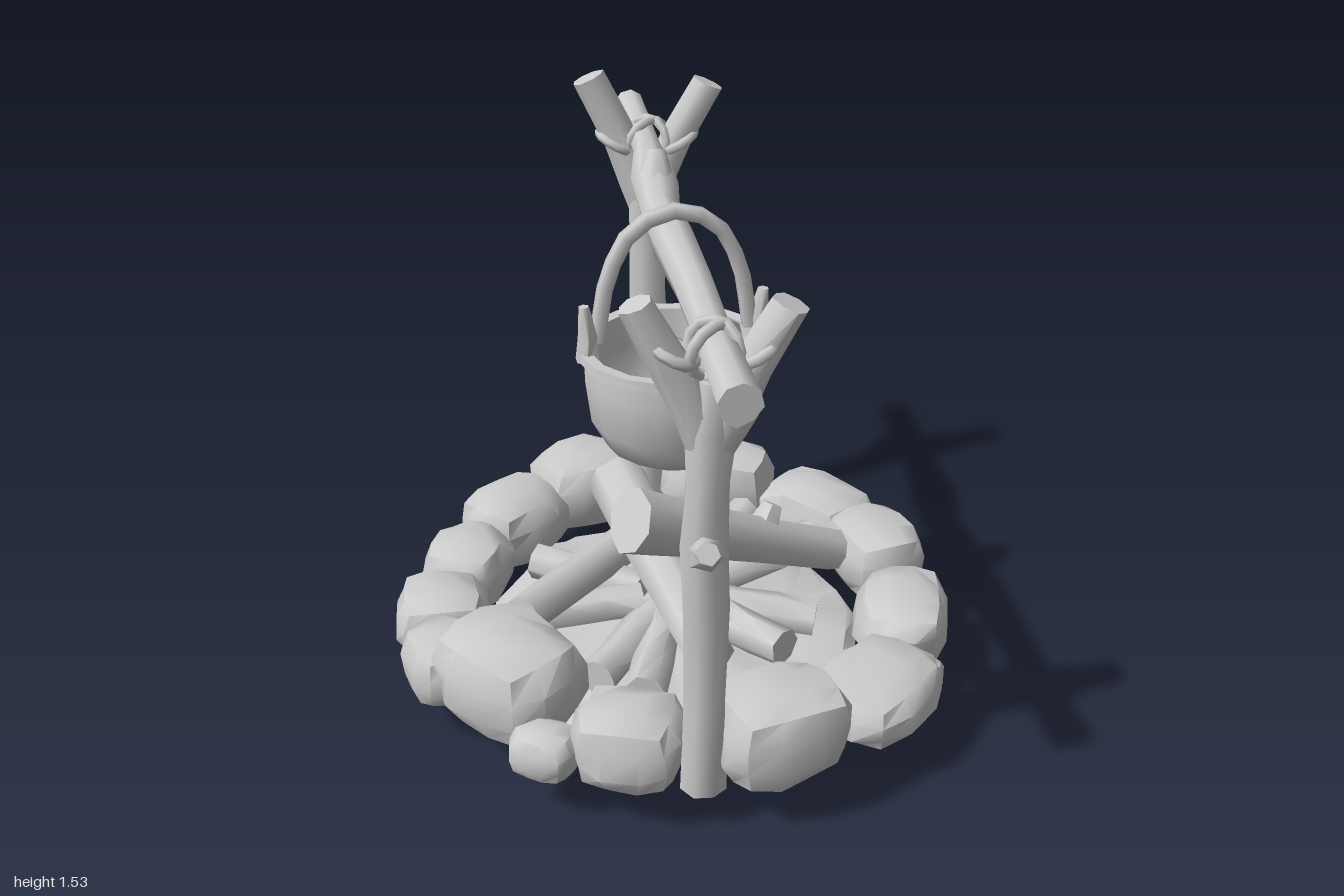
import * as THREE from 'three';
import { toCreasedNormals, mergeVertices } from 'three/addons/utils/BufferGeometryUtils.js';

const V = (x, y, z) => new THREE.Vector3(x, y, z);

export function createModel() {
  const model = new THREE.Group();
  const grey = new THREE.MeshStandardMaterial({ color: 0xcccccc });
  grey.name = 'plain grey';

  let seed = 7;
  const rand = () => (seed = (seed * 16807) % 2147483647) / 2147483647;

  function add(name, geometry, parent = model) {
    const mesh = new THREE.Mesh(geometry, grey);
    mesh.name = name;
    parent.add(mesh);
    return mesh;
  }

  // Keep positions only, so that shared corners can be joined and moved together
  function welded(g) {
    g.deleteAttribute('normal');
    g.deleteAttribute('uv');
    return mergeVertices(g, 1e-3);
  }

  // Wooden limb: rings of [x, y, z, radius] joined along one main axis, closed at both ends
  function limb(name, rings, sides = 8, rough = 0.1, parent = model) {
    const at = (r) => V(r[0], r[1], r[2]);
    const axis = at(rings[rings.length - 1]).sub(at(rings[0])).normalize();
    const u = V(0.31, 0.17, 0.93).cross(axis).normalize();
    const w = axis.clone().cross(u);
    const pos = [], index = [];
    rings.forEach((r) => {
      for (let i = 0; i < sides; i++) {
        const a = (i / sides) * Math.PI * 2;
        const k = r[3] * (1 + (rand() - 0.5) * 2 * rough);
        const p = at(r).addScaledVector(u, Math.cos(a) * k).addScaledVector(w, Math.sin(a) * k);
        pos.push(p.x, p.y, p.z);
      }
    });
    for (let j = 0; j < rings.length - 1; j++) {
      for (let i = 0; i < sides; i++) {
        const a = j * sides + i, b = j * sides + (i + 1) % sides;
        index.push(a, b, b + sides, a, b + sides, a + sides);
      }
    }
    const last = (rings.length - 1) * sides;
    for (let i = 1; i < sides - 1; i++) {
      index.push(0, i + 1, i, last, last + i, last + i + 1);
    }
    const g = new THREE.BufferGeometry();
    g.setAttribute('position', new THREE.Float32BufferAttribute(pos, 3));
    g.setIndex(index);
    return add(name, toCreasedNormals(g, 1.05), parent);
  }

  // Boulder: a box rounded towards a squared-off ball, with every corner nudged
  function stone(name, x, z, across, deep, y0, y1, parent) {
    const g = welded(new THREE.BoxGeometry(2, 2, 2, 3, 3, 3));
    const p = g.attributes.position;
    for (let i = 0; i < p.count; i++) {
      const v = V().fromBufferAttribute(p, i);
      const n = Math.pow(Math.abs(v.x) ** 3 + Math.abs(v.y) ** 3 + Math.abs(v.z) ** 3, 1 / 3);
      v.multiplyScalar((0.96 + rand() * 0.13) / n);
      p.setXYZ(i, v.x * across / 2, THREE.MathUtils.clamp(v.y, -0.97, 1) * (y1 - y0) / 2, v.z * deep / 2);
    }
    const m = add(name, toCreasedNormals(g, 0.75), parent);
    m.position.set(x, (y0 + y1) / 2, z);
    m.rotation.y = Math.atan2(x, z);
  }

  // Ring of stones: x, z, width along the ring, depth, bottom, top
  const ring = new THREE.Group();
  ring.name = 'stoneRing';
  model.add(ring);
  [
    [-0.24, -0.6, 0.33, 0.27, 0.12, 0.37], [0.19, -0.62, 0.35, 0.26, 0.11, 0.35],
    [0.48, -0.46, 0.35, 0.25, 0.1, 0.29], [0.62, -0.2, 0.3, 0.25, 0.09, 0.31],
    [0.64, 0.12, 0.35, 0.25, 0.09, 0.28], [0.51, 0.47, 0.38, 0.29, 0.12, 0.27],
    [0.23, 0.66, 0.34, 0.27, 0.12, 0.37], [-0.15, 0.66, 0.28, 0.26, 0.12, 0.33],
    [-0.45, 0.43, 0.37, 0.31, 0.13, 0.4], [-0.62, 0.28, 0.26, 0.23, 0.11, 0.3],
    [-0.65, 0.06, 0.26, 0.25, 0.1, 0.3], [-0.59, -0.2, 0.26, 0.24, 0.1, 0.3],
    [-0.46, -0.42, 0.32, 0.26, 0.1, 0.33], [-0.36, 0.65, 0.17, 0.14, 0.12, 0.26],
    [0.65, 0.36, 0.14, 0.12, 0.1, 0.2],
  ].forEach((s, i) => stone('stone' + (i + 1), ...s, ring));

  // Earth bed: scalloped edge, underside sagging towards front and back, rough ash on top
  const earth = welded(new THREE.LatheGeometry([
    [0, 0.065], [0.18, 0.06], [0.36, 0.06], [0.47, 0.072], [0.53, 0.105], [0.5, 0.13], [0.38, 0.14], [0.2, 0.16], [0, 0.18],
  ].map(([r, y]) => new THREE.Vector2(r, y)), 24));
  const ep = earth.attributes.position;
  for (let i = 0; i < ep.count; i++) {
    const x = ep.getX(i), y = ep.getY(i), z = ep.getZ(i), a = Math.atan2(z, x), r = Math.hypot(x, z);
    const k = 1 + 0.025 * Math.sin(5 * a) + 0.025 * Math.cos(9 * a + 1);
    const sag = -0.052 * Math.sin(a) ** 2 * Math.max(0, 1 - Math.abs(r - 0.36) / 0.2);
    const lump = 0.025 * Math.sin(7 * a) * Math.min(1, r * 3);
    ep.setXYZ(i, x * k, y + (y < 0.11 ? sag : lump), z * k * 1.06);
  }
  add('earthBed', toCreasedNormals(earth, 0.9));

  // Firewood: large leaning logs, then short pieces radiating over the ash
  const straight = (a, b, r0, r1 = r0) => [0, 0.35, 0.7, 1].map((t) =>
    [0, 1, 2].map((k) => a[k] + (b[k] - a[k]) * t).concat(r0 + (r1 - r0) * t));
  const fire = new THREE.Group();
  fire.name = 'firewood';
  model.add(fire);
  limb('leaningLog', straight([0.48, 0.28, -0.09], [-0.125, 0.59, 0.22], 0.058, 0.09), 8, 0.08, fire);
  limb('crossedLog', straight([0.08, 0.3, 0.44], [-0.15, 0.485, -0.19], 0.065, 0.085), 8, 0.08, fire);
  limb('sideLog', straight([0.0, 0.25, -0.37], [-0.42, 0.31, 0.24], 0.055, 0.06), 8, 0.08, fire);
  limb('logStub', [[0.24, 0.39, 0.02, 0.06], [0.285, 0.485, -0.02, 0.03]], 6, 0.1, fire);
  [
    [-0.39, -0.21, 0.2], [0.25, -0.39, 0.24], [0.43, -0.21, 0.26], [0.29, 0.28, 0.21], [-0.1, 0.46, 0.2],
    [-0.22, 0.38, 0.2], [-0.43, 0.06, 0.18], [0.08, -0.42, 0.18], [0.4, 0.1, 0.17],
  ].forEach(([x, z, y], i) =>
    limb('kindling' + (i + 1), straight([x, y, z], [x * 0.2, 0.2, z * 0.2], 0.055), 7, 0.12, fire));

  // Forked posts: each stem narrows inside the two branches that grow out of it
  limb('frontPost', [
    [0.035, 0.115, 0.71, 0.06], [0.035, 0.35, 0.71, 0.052], [0.04, 0.62, 0.7, 0.058], [0.03, 0.83, 0.72, 0.058],
    [0.035, 0.98, 0.71, 0.053], [0.04, 1.12, 0.715, 0.06], [0.045, 1.25, 0.72, 0.045],
  ]);
  limb('frontPostKnot', [[0.03, 0.81, 0.73, 0.05], [0.03, 0.86, 0.82, 0.028]], 6);
  limb('frontForkRight', [[0.04, 1.03, 0.713, 0.042], [0.005, 1.16, 0.715, 0.052], [-0.05, 1.28, 0.72, 0.047], [-0.125, 1.43, 0.73, 0.04]]);
  limb('frontForkLeft', [[0.035, 1.03, 0.713, 0.042], [0.075, 1.16, 0.715, 0.054], [0.13, 1.28, 0.72, 0.05], [0.21, 1.42, 0.72, 0.045]]);
  limb('backPost', [
    [-0.03, 0.005, -0.685, 0.065], [-0.03, 0.25, -0.68, 0.055], [-0.02, 0.6, -0.66, 0.06], [-0.03, 0.85, -0.69, 0.055],
    [-0.03, 1.08, -0.68, 0.056], [-0.03, 1.2, -0.69, 0.06], [-0.03, 1.31, -0.69, 0.05],
  ]);
  limb('backForkRight', [[-0.03, 1.1, -0.685, 0.045], [-0.06, 1.22, -0.69, 0.055], [-0.11, 1.34, -0.7, 0.053], [-0.2, 1.52, -0.7, 0.05]]);
  limb('backForkLeft', [[-0.03, 1.1, -0.685, 0.045], [0.005, 1.22, -0.69, 0.053], [0.06, 1.34, -0.7, 0.05], [0.15, 1.5, -0.7, 0.047]]);

  // Crossbeam resting in the forks
  limb('crossbeam', [
    [0.075, 1.32, 0.995, 0.05], [0.05, 1.32, 0.7, 0.046], [0.03, 1.31, 0.35, 0.046], [0, 1.305, 0.05, 0.056],
    [-0.02, 1.295, -0.18, 0.055], [-0.025, 1.325, -0.36, 0.062], [-0.03, 1.33, -0.6, 0.044], [-0.07, 1.357, -0.995, 0.045],
  ]);
  limb('beamKnot', [[-0.025, 1.31, -0.31, 0.065], [-0.025, 1.405, -0.37, 0.03]], 7);

  // Rope lashings: slanted loops round the beam and each branch
  function lashing(name, x, y, z) {
    const group = new THREE.Group();
    group.name = name;
    group.position.set(x, y, z);
    model.add(group);
    for (const s of [-1, 1]) {
      const loop = add('ropeLoop', new THREE.TorusGeometry(0.066, 0.014, 6, 12), group);
      loop.rotation.set(0.25 * s, 0.6 * s, 0);
      const fork = add('forkLoop', new THREE.TorusGeometry(0.056, 0.014, 6, 12), group);
      fork.position.set(0.09 * s, 0, 0);
      fork.rotation.set(Math.PI / 2, 0.5 * s, 0);
    }
  }
  lashing('frontLashing', 0.045, 1.315, 0.72);
  lashing('backLashing', -0.03, 1.33, -0.7);

  // Cooking pot, hollow with a flared rim
  const pot = new THREE.Group();
  pot.name = 'pot';
  pot.position.set(0.003, 0, 0.045);
  pot.rotation.y = 0.2;
  model.add(pot);
  const bowl = new THREE.LatheGeometry([
    [0, 0.7], [0.12, 0.705], [0.185, 0.745], [0.225, 0.82], [0.24, 0.94], [0.236, 0.995], [0.258, 1.0],
    [0.256, 1.024], [0.225, 1.022], [0.218, 0.93], [0.205, 0.83], [0.165, 0.76], [0, 0.725],
  ].map(([r, y]) => new THREE.Vector2(r, y)), 16);
  add('bowl', toCreasedNormals(bowl, 0.7), pot);
  limb('footKnob', [[0, 0.675, 0, 0.018], [0, 0.72, 0, 0.055]], 6, 0, pot);

  // Pot ears and arched handle
  for (const s of [-1, 1]) {
    limb('ear', [[s * 0.232, 1.0, 0, 0.032], [s * 0.228, 1.07, 0, 0.03], [s * 0.24, 1.15, 0, 0.015]], 6, 0.1, pot);
  }
  const arch = new THREE.CatmullRomCurve3([
    V(-0.205, 1.05, 0), V(-0.175, 1.22, 0), V(-0.11, 1.34, 0), V(0, 1.385, 0),
    V(0.11, 1.34, 0), V(0.175, 1.22, 0), V(0.205, 1.05, 0),
  ]);
  add('handle', new THREE.TubeGeometry(arch, 12, 0.022, 6), pot);

  return model;
}
